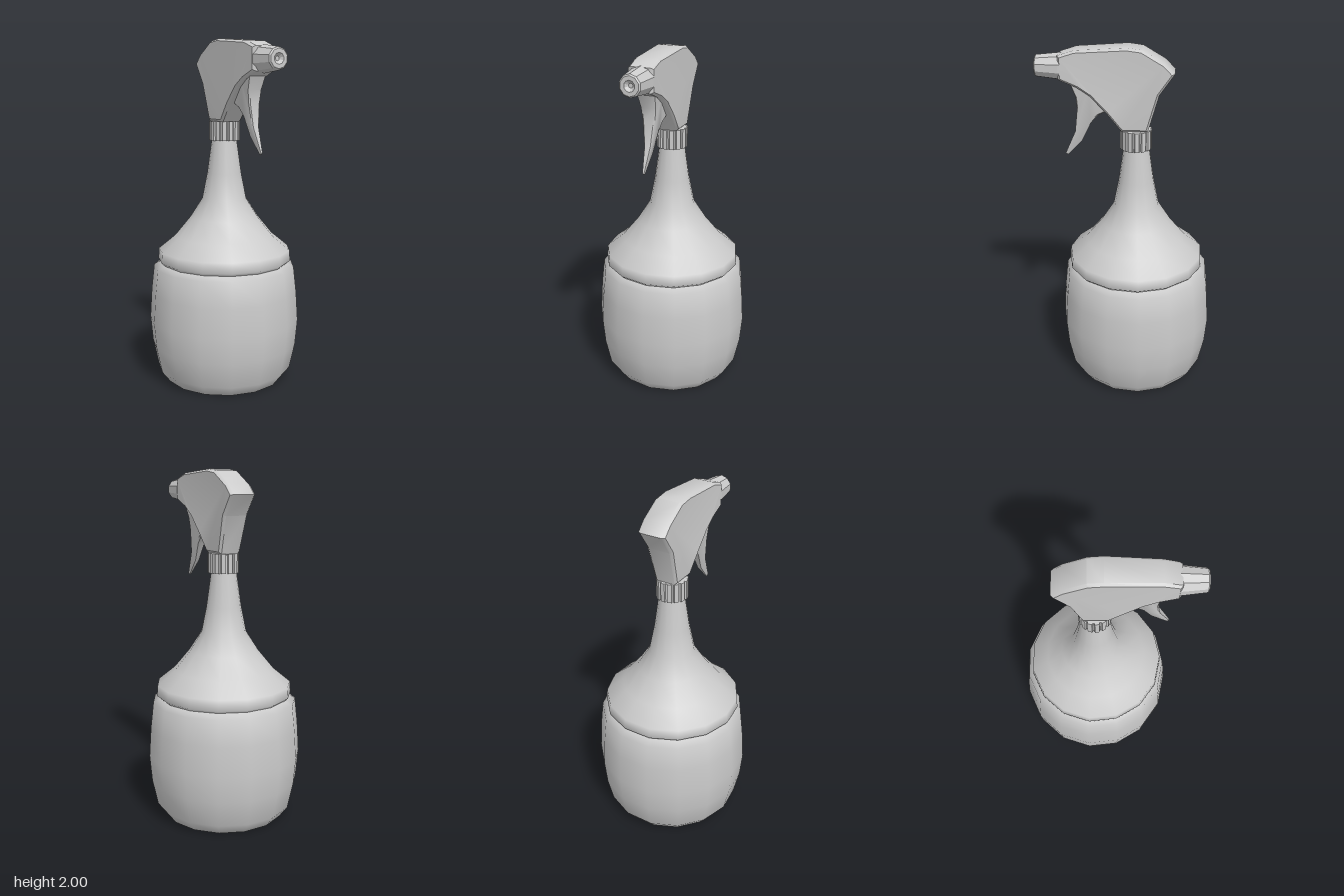
import * as THREE from 'three';
import { toCreasedNormals } from 'three/addons/utils/BufferGeometryUtils.js';

const AXIS_Z = -0.055; // bottle axis

const v2 = (pts) => pts.map(([a, b]) => new THREE.Vector2(a, b));

// Side outline given as (z, y), extruded across x; widthAt(z, y) gives the half width
function sidePlate(points, bevel, widthAt) {
  const geo = new THREE.ExtrudeGeometry(new THREE.Shape(v2(points)), {
    depth: 2 - 0.4, steps: 1, bevelEnabled: true, bevelThickness: 0.2,
    bevelSize: bevel, bevelOffset: -bevel, bevelSegments: 1,
  });
  geo.translate(0, 0, -0.8);
  geo.rotateY(-Math.PI / 2);
  const p = geo.attributes.position;
  for (let i = 0; i < p.count; i++) p.setX(i, p.getX(i) * widthAt(p.getZ(i), p.getY(i)));
  return toCreasedNormals(geo, 0.7);
}

export function createModel() {
  const group = new THREE.Group();
  const grey = new THREE.MeshStandardMaterial({ color: 0xcccccc, side: THREE.DoubleSide });
  const faceted = new THREE.MeshStandardMaterial({ color: 0xcccccc, flatShading: true, side: THREE.DoubleSide });
  const add = (name, geo, mat = grey) => {
    const mesh = new THREE.Mesh(geo, mat);
    mesh.name = name;
    group.add(mesh);
    return mesh;
  };

  // Bulging tank with a recessed base
  const body = add('bottleBody', new THREE.LatheGeometry(v2([
    [0, 0.05], [0.25, 0.04], [0.32, 0.005], [0.35, 0.005], [0.4, 0.07],
    [0.432, 0.22], [0.445, 0.37], [0.434, 0.54], [0.417, 0.69], [0.37, 0.715],
  ]), 15));
  body.position.z = AXIS_Z;

  // Shoulder sweeping up into the neck
  const shoulder = add('shoulderAndNeck', new THREE.LatheGeometry(v2([
    [0.37, 0.71], [0.393, 0.73], [0.388, 0.79], [0.29, 0.87],
    [0.2, 0.98], [0.13, 1.09], [0.1, 1.24], [0.072, 1.44],
  ]), 15));
  shoulder.position.z = AXIS_Z + 0.005;

  // Ribbed collar
  const ribs = 14, ring = [];
  for (let i = 0; i < ribs; i++) {
    for (const [f, r] of [[0, 0.089], [0.6, 0.089], [0.7, 0.08], [0.9, 0.08]]) {
      const a = ((i + f) / ribs) * Math.PI * 2;
      ring.push([r * Math.cos(a), r * Math.sin(a)]);
    }
  }
  const collar = new THREE.ExtrudeGeometry(new THREE.Shape(v2(ring)), { depth: 0.11, bevelEnabled: false });
  collar.rotateX(-Math.PI / 2);
  add('collar', collar, faceted).position.set(0, 1.43, -0.047);

  // Spray head
  add('sprayHead', sidePlate([
    [0.37, 1.82], [0.37, 1.95], [0.28, 1.98], [0, 2], [-0.08, 1.99], [-0.2, 1.92],
    [-0.255, 1.865], [-0.175, 1.75], [-0.115, 1.54], [0.03, 1.54], [0.11, 1.64],
    [0.2, 1.735], [0.27, 1.78],
  ], 0.012, (z, y) => Math.min(0.079 - 0.025 * Math.max(z, 0), 0.068 + 0.05 * (y - 1.54))));

  // Trigger tapering to a point
  add('trigger', sidePlate([
    [0.31, 1.8], [0.28, 1.72], [0.275, 1.65], [0.29, 1.52], [0.35, 1.385], [0.335, 1.377],
    [0.25, 1.47], [0.2, 1.575], [0.16, 1.62], [0.11, 1.645], [0.2, 1.8],
  ], 0.006, (z, y) => 0.005 + 0.045 * Math.max(0, (y - 1.377) / 0.42)));

  // Nozzle with a dimpled tip
  const nozzle = new THREE.LatheGeometry(v2([
    [0, -0.01], [0.074, -0.01], [0.074, 0], [0.06, 0.125], [0.052, 0.132], [0.03, 0.132], [0.012, 0.115], [0, 0.115],
  ]), 10);
  nozzle.rotateX(Math.PI / 2);
  add('nozzle', nozzle, faceted).position.set(0.002, 1.882, 0.368);

  return group;
}
